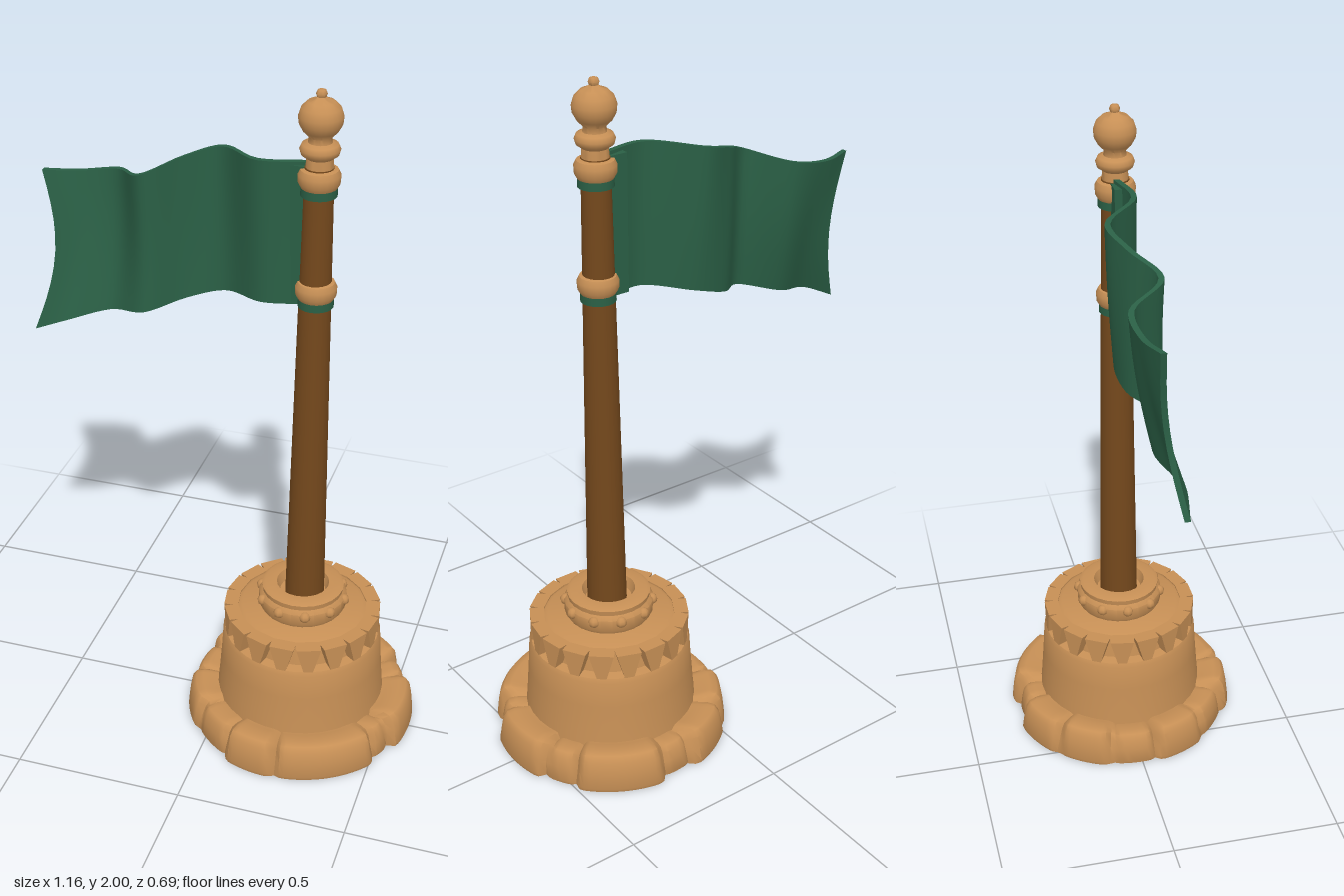
import * as THREE from 'three';
import { mergeVertices, toCreasedNormals } from 'three/addons/utils/BufferGeometryUtils.js';

const material = (name, color) => {
  const m = new THREE.MeshStandardMaterial({ color });
  m.name = name;
  return m;
};

export function createModel() {
  const stone = material('sandstone', 0xc68f55);
  const wood = material('brown wood', 0x74481c);
  const cloth = material('green cloth', 0x2a5f45);
  const model = new THREE.Group();
  model.name = 'flagOnStoneBase';
  const baseX = 0.23, poleX = 0.243;

  const add = (name, geometry, mat, x = 0, y = 0, z = 0, parent = model) => {
    const mesh = new THREE.Mesh(geometry, mat);
    mesh.name = name;
    mesh.position.set(x, y, z);
    parent.add(mesh);
    return mesh;
  };
  const lathe = (points, sides) =>
    new THREE.LatheGeometry(points.map(([r, y]) => new THREE.Vector2(r, y)), sides);
  const turned = (points, sides = 24, crease = 0.8) => toCreasedNormals(lathe(points, sides), crease);

  // Ring of uneven foundation stones: [end angle in degrees, radius, height]
  const stones = [
    [-163, 0.335, 0.10], [-133, 0.345, 0.115], [-102, 0.35, 0.11], [-83, 0.325, 0.095],
    [-38, 0.35, 0.115], [-20, 0.335, 0.10], [20, 0.35, 0.115], [34, 0.33, 0.10],
    [88, 0.348, 0.11], [116, 0.352, 0.115], [142, 0.335, 0.10], [172, 0.345, 0.112], [197, 0.335, 0.10],
  ];
  const foundation = lathe([[0, 0], [0.99, 0], [1, 0.1], [0.985, 0.5], [0.965, 0.82], [0.93, 0.97],
    [0.87, 1], [0.76, 0.93], [0.68, 0.86], [0, 0.86]], 144);
  const p = foundation.attributes.position;
  for (let i = 0; i < p.count; i++) {
    const x = p.getX(i), z = p.getZ(i), r = Math.hypot(x, z), h = p.getY(i);
    const deg = THREE.MathUtils.radToDeg(Math.atan2(z, x));
    const [, radius, height] = stones.find((s) => deg <= s[0]);
    const gap = Math.min(...stones.map((s) => Math.abs(deg - s[0])));
    const groove = Math.exp(-((gap / 2.2) ** 2)) * THREE.MathUtils.smoothstep(r, 0.6, 0.9);
    const scale = radius * (1 - 0.075 * groove * Math.min(1, 0.3 + h));
    p.setXYZ(i, x * scale, h * height * (1 - 0.15 * groove), z * scale);
  }
  foundation.deleteAttribute('uv');
  foundation.deleteAttribute('normal');
  add('foundationStones', toCreasedNormals(mergeVertices(foundation, 1e-4), 0.8), stone, baseX);

  // Drum with a recessed upper wall
  add('drum', turned([[0.255, 0.08], [0.25, 0.13], [0.243, 0.22], [0.238, 0.3], [0.232, 0.313],
    [0.205, 0.318], [0.195, 0.385], [0.18, 0.393], [0, 0.393]], 36), stone, baseX);

  // Crown of wedge teeth around the recess
  const tooth = new THREE.ExtrudeGeometry(
    new THREE.Shape([[-0.014, 0], [0.014, 0], [0.036, 0.078], [-0.036, 0.078]]
      .map(([x, y]) => new THREE.Vector2(x, y))),
    { depth: 0.042, bevelEnabled: false });
  const crown = new THREE.Group();
  crown.name = 'crownTeeth';
  crown.position.x = baseX;
  model.add(crown);
  for (let i = 0; i < 18; i++) {
    const a = (i / 18) * Math.PI * 2;
    const t = add('crownTooth', tooth, stone, Math.sin(a) * 0.19, 0.313, Math.cos(a) * 0.19, crown);
    t.rotation.y = a;
  }

  // Socket collar with studs
  add('socketCollar', turned([[0.118, 0.385], [0.13, 0.405], [0.131, 0.44], [0.12, 0.452],
    [0.122, 0.467], [0.112, 0.472], [0.078, 0.472], [0.068, 0.44], [0, 0.435]], 24), stone, baseX);
  const stud = new THREE.SphereGeometry(0.017, 8, 6);
  for (let i = 0; i < 10; i++) {
    const a = ((i + 0.5) / 10) * Math.PI * 2;
    add('collarStud', stud, stone, baseX + Math.sin(a) * 0.126, 0.432, Math.cos(a) * 0.126);
  }

  // Tapered pole, leaning very slightly
  const pole = add('pole', new THREE.CylinderGeometry(0.039, 0.058, 1.36, 18), wood, 0.239, 1.11, 0);
  pole.rotation.z = -0.005;

  // Two rings with the cloth loops below them
  const ring = turned([[0.035, -0.028], [0.048, -0.026], [0.056, -0.012], [0.057, 0.01],
    [0.05, 0.024], [0.035, 0.028]], 20);
  for (const y of [1.44, 1.76]) {
    add('poleRing', ring, stone, poleX, y);
    add('clothLoop', new THREE.CylinderGeometry(0.048, 0.049, 0.03, 20), cloth, poleX, y - 0.033);
  }

  // Finial
  add('finial', turned([[0.038, 1.77], [0.036, 1.805], [0.035, 1.815], [0.05, 1.826], [0.054, 1.84],
    [0.048, 1.853], [0.032, 1.858], [0.03, 1.872], [0.046, 1.888], [0.057, 1.908], [0.059, 1.928],
    [0.052, 1.95], [0.036, 1.966], [0.018, 1.973], [0.012, 1.978], [0.015, 1.986],
    [0.011, 1.996], [0, 2]], 24, 1), stone, poleX);

  // Waving flag stretched between a top and a bottom edge curve
  const edge = (pts) => new THREE.CatmullRomCurve3(pts.map((q) => new THREE.Vector3(...q)));
  const top = edge([[0.215, 1.8, -0.005], [0.08, 1.797, 0.015], [-0.05, 1.782, -0.085], [-0.15, 1.752, -0.05],
    [-0.25, 1.712, 0.01], [-0.35, 1.68, -0.09], [-0.47, 1.66, -0.088], [-0.56, 1.663, -0.06]]);
  const bottom = edge([[0.215, 1.392, -0.005], [0.1, 1.393, 0.02], [-0.03, 1.372, -0.06], [-0.14, 1.337, -0.05],
    [-0.24, 1.31, 0.02], [-0.36, 1.277, -0.03], [-0.48, 1.243, 0.01], [-0.583, 1.195, 0]]);
  const flag = new THREE.BoxGeometry(1, 1, 1, 42, 10, 1);
  const f = flag.attributes.position;
  for (let i = 0; i < f.count; i++) {
    const u = 0.5 - f.getX(i), v = f.getY(i) + 0.5;
    const q = bottom.getPoint(u).lerp(top.getPoint(u), v);
    const bulge = Math.sin(Math.PI * v);
    f.setXYZ(i, q.x + 0.045 * bulge * u ** 4, q.y, q.z + f.getZ(i) * 0.016 - 0.012 * bulge * u);
  }
  flag.computeVertexNormals();
  add('flag', flag, cloth);

  // Hem sleeve joining the flag to the pole
  add('flagSleeve', new THREE.BoxGeometry(0.055, 0.39, 0.034), cloth, 0.185, 1.595, -0.003);

  return model;
}
